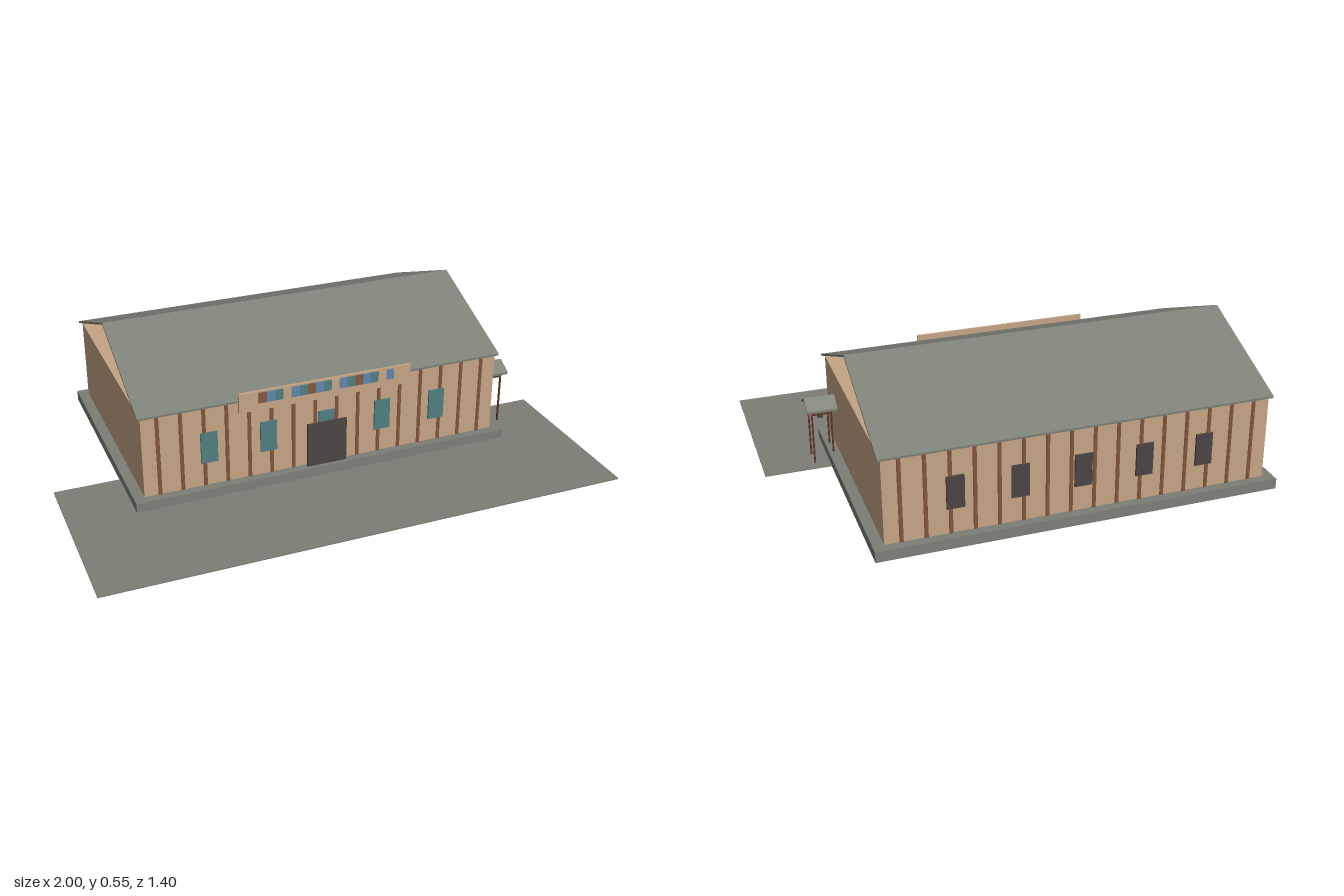
import * as THREE from 'three';

const mat = (name, color) => {
  const m = new THREE.MeshStandardMaterial({ color });
  m.name = name;
  return m;
};

export function createModel() {
  const model = new THREE.Group();
  model.name = 'hall';
  const stone = mat('grey stone', 0x7c7f76);
  const plaster = mat('tan wall', 0xc4a484);
  const wood = mat('brown timber', 0x85573c);
  const darkWood = mat('dark timber', 0x5e3524);
  const glass = mat('teal glass', 0x4f7f82);
  const dark = mat('charcoal', 0x4a4543);
  const blue = mat('blue panel', 0x5f86ad);

  const add = (parent, name, geo, material, x, y, z) => {
    const m = new THREE.Mesh(geo, material);
    m.name = name;
    m.position.set(x, y, z);
    parent.add(m);
    return m;
  };
  // Box given by its extents on each axis
  const box = (parent, name, material, x0, x1, y0, y1, z0, z1) =>
    add(parent, name, new THREE.BoxGeometry(x1 - x0, y1 - y0, z1 - z0), material,
      (x0 + x1) / 2, (y0 + y1) / 2, (z0 + z1) / 2);

  // Thin gable roof: an inverted V extruded along x
  const gable = (parent, name, x0, x1, zc, half, eave, ridge, t) => {
    const s = new THREE.Shape([
      [-half, eave], [0, ridge], [half, eave],
      [half, eave - t], [0, ridge - t], [-half, eave - t],
    ].map(([a, b]) => new THREE.Vector2(a, b)));
    const geo = new THREE.ExtrudeGeometry(s, { depth: x1 - x0, bevelEnabled: false });
    geo.rotateY(Math.PI / 2);
    return add(parent, name, geo, stone, x0, 0, zc);
  };

  // Forecourt, plinth, walls and open-ended roof
  box(model, 'forecourt', stone, -1, 1, 0, 0.005, 0.01, 0.7);
  box(model, 'plinth', stone, -0.75, 0.75, 0.001, 0.041, -0.7, 0.26);
  box(model, 'walls', plaster, -0.71, 0.71, 0.041, 0.362, -0.663, 0.225);
  gable(model, 'roof', -0.722, 0.722, -0.22, 0.455, 0.369, 0.55, 0.008);

  // Half-round timber posts on the long walls
  const postGeo = new THREE.CylinderGeometry(0.009, 0.009, 0.321, 8);
  for (let i = 0; i < 16; i++) {
    const x = -0.65 + i * (1.3 / 15);
    add(model, 'frontWallPost', postGeo, wood, x, 0.2015, 0.221);
    add(model, 'backWallPost', postGeo, wood, x, 0.2015, -0.659);
  }

  // Windows: glazed at the front, shuttered at the back
  for (let i = -2; i <= 2; i++) {
    const x = i * 0.23;
    box(model, 'frontWindow', glass, x - 0.032, x + 0.032, 0.137, 0.26, 0.225, 0.2325);
    box(model, 'backWindow', dark, x - 0.032, x + 0.032, 0.137, 0.26, -0.6705, -0.663);
  }

  // Door
  box(model, 'door', dark, -0.08, 0.078, 0.041, 0.22, 0.236, 0.244);

  // Sign board with a plain row of coloured panels
  const sign = new THREE.Group();
  sign.name = 'signBoard';
  model.add(sign);
  box(sign, 'board', plaster, -0.345, 0.342, 0.316, 0.394, 0.226, 0.236);
  const tints = [wood, blue, glass, plaster, blue, glass];
  const n = 17, w = 0.54 / n;
  for (let i = 0; i < n; i++) {
    const x = -0.27 + i * w;
    box(sign, 'signPanel', tints[i % tints.length], x, x + w, 0.347, 0.388, 0.236, 0.241);
  }

  // Small roofed frame with a hanging lantern on the left side
  const shelter = new THREE.Group();
  shelter.name = 'sideShelter';
  model.add(shelter);
  gable(shelter, 'shelterRoof', 0.71, 0.825, 0.087, 0.06, 0.23, 0.262, 0.009);
  for (const x of [0.732, 0.805]) {
    for (const z of [0.05, 0.125]) {
      box(shelter, 'shelterPost', darkWood, x - 0.003, x + 0.003, 0, 0.21, z - 0.003, z + 0.003);
    }
  }
  for (const z of [0.05, 0.125]) {
    box(shelter, 'shelterBeam', darkWood, 0.729, 0.808, 0.203, 0.21, z - 0.003, z + 0.003);
  }
  box(shelter, 'lanternHanger', darkWood, 0.766, 0.77, 0.195, 0.207, 0.086, 0.09);
  box(shelter, 'lantern', dark, 0.758, 0.778, 0.176, 0.196, 0.078, 0.098);

  return model;
}
